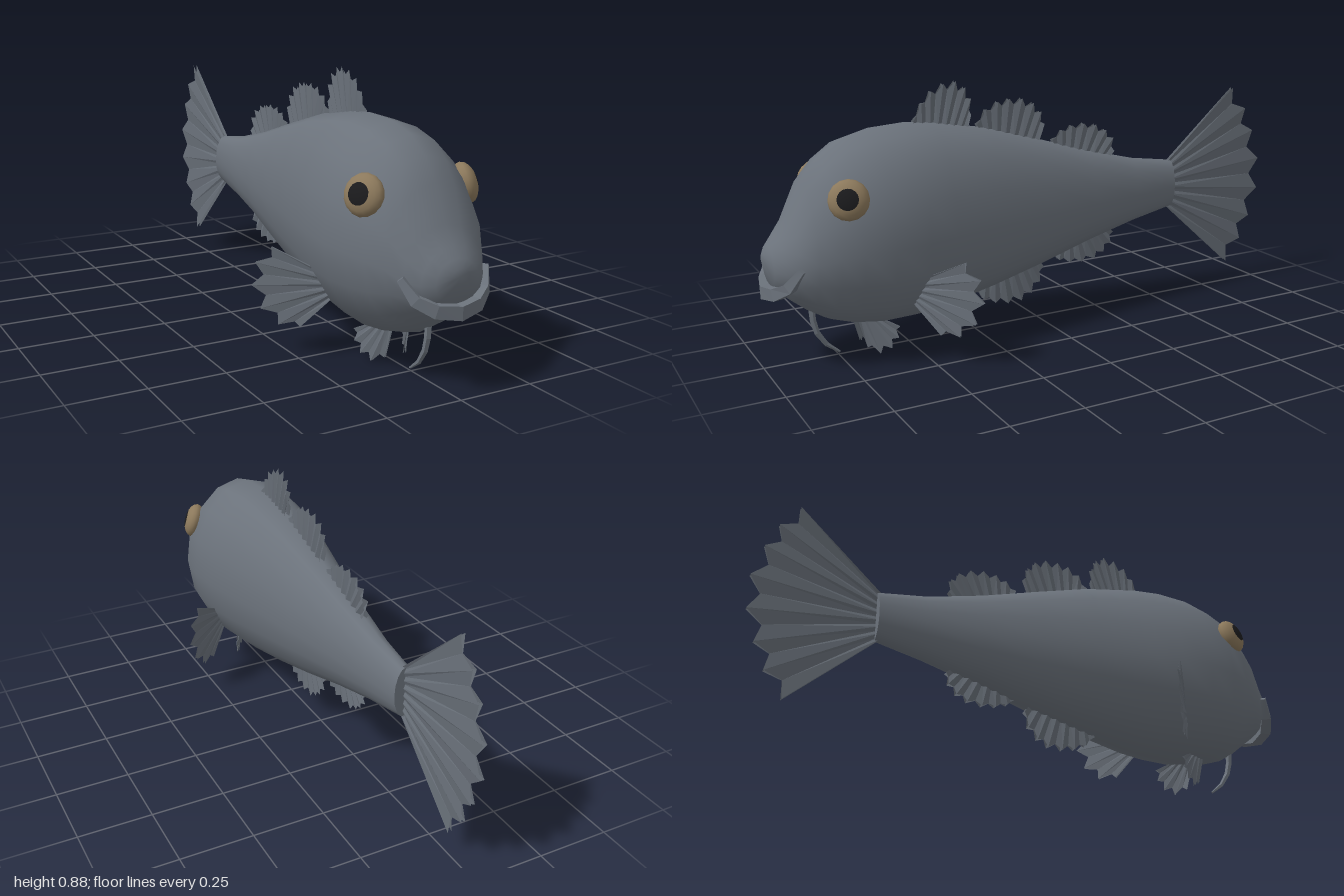
import * as THREE from 'three';
import { toCreasedNormals } from 'three/addons/utils/BufferGeometryUtils.js';

const V = (x, y, z) => new THREE.Vector3(x, y, z);

// Closed skin through a list of equal-sided rings, with both ends capped
function loft(rings, crease) {
  const n = rings[0].length, pos = [], idx = [];
  rings.forEach(r => r.forEach(p => pos.push(p.x, p.y, p.z)));
  for (const r of [rings[0], rings[rings.length - 1]]) {
    const c = r.reduce((s, p) => s.add(p), V(0, 0, 0)).divideScalar(n);
    pos.push(c.x, c.y, c.z);
  }
  const last = (rings.length - 1) * n, c0 = rings.length * n;
  for (let j = 0; j < n; j++) {
    const k = (j + 1) % n;
    for (let i = 0; i < last; i += n) {
      idx.push(i + j, i + n + j, i + k, i + k, i + n + j, i + n + k);
    }
    idx.push(c0, j, k, c0 + 1, last + k, last + j);
  }
  const g = new THREE.BufferGeometry();
  g.setAttribute('position', new THREE.Float32BufferAttribute(pos, 3));
  g.setIndex(idx);
  return toCreasedNormals(g, crease);
}

// Angular tube with its own radius at each point
function bar(points, radii, sides, ref) {
  const rings = points.map((p, i) => {
    const t = points[Math.min(i + 1, points.length - 1)].clone()
      .sub(points[Math.max(i - 1, 0)]).normalize();
    const v = ref.clone().addScaledVector(t, -ref.dot(t)).normalize();
    const u = t.clone().cross(v);
    return Array.from({ length: sides }, (_, j) => {
      const a = (j + 0.5) / sides * Math.PI * 2;
      return p.clone().addScaledVector(u, Math.cos(a) * radii[i])
        .addScaledVector(v, Math.sin(a) * radii[i]);
    });
  });
  return loft(rings, 0.15);
}

// Pleated fan from root a-b out to pointed tips, thicker along each ray
function fin(a, b, tips, notch, thick) {
  const edge = [];
  tips.forEach((p, i) => {
    edge.push(p);
    if (i < tips.length - 1) {
      const m = p.clone().add(tips[i + 1]).multiplyScalar(0.5);
      const root = a.clone().lerp(b, (i + 0.5) / (tips.length - 1));
      edge.push(m.lerp(root, notch));
    }
  });
  const normal = b.clone().sub(a)
    .cross(tips[tips.length >> 1].clone().sub(a)).normalize();
  const pos = [];
  const add = (...ps) => ps.forEach(p => pos.push(p.x, p.y, p.z));
  for (const s of [1, -1]) {
    const at = (p, i) => p.clone().addScaledVector(normal, s * thick * (i % 2 ? 0.25 : 1));
    for (let i = 0; i < edge.length - 1; i++) {
      const r0 = at(a.clone().lerp(b, i / (edge.length - 1)), i);
      const r1 = at(a.clone().lerp(b, (i + 1) / (edge.length - 1)), i + 1);
      const e0 = at(edge[i], i), e1 = at(edge[i + 1], i + 1);
      if (s > 0) add(r0, r1, e0, r1, e1, e0);
      else add(r0, e0, r1, r1, e0, e1);
    }
  }
  const g = new THREE.BufferGeometry();
  g.setAttribute('position', new THREE.Float32BufferAttribute(pos, 3));
  g.computeVertexNormals();
  return g;
}

export function createModel() {
  const group = new THREE.Group();
  const skin = new THREE.MeshStandardMaterial({ color: 0x6b727b });
  skin.name = 'slateSkin';
  const finMat = new THREE.MeshStandardMaterial({ color: 0x676e77, side: THREE.DoubleSide });
  finMat.name = 'slateFin';
  const tan = new THREE.MeshStandardMaterial({ color: 0x8c795c });
  tan.name = 'tanIris';
  const black = new THREE.MeshStandardMaterial({ color: 0x1b1b1d });
  black.name = 'blackPupil';

  const add = (name, geo, mat, parent = group) => {
    const m = new THREE.Mesh(geo, mat);
    m.name = name;
    parent.add(m);
    return m;
  };

  // Body: z, top, bottom, half width
  const sections = [
    [0.98, 0.39, 0.345, 0.03], [0.965, 0.415, 0.285, 0.075], [0.94, 0.445, 0.255, 0.108],
    [0.9, 0.5, 0.22, 0.14], [0.85, 0.61, 0.18, 0.175], [0.79, 0.68, 0.143, 0.202],
    [0.72, 0.73, 0.12, 0.223], [0.62, 0.757, 0.106, 0.234], [0.5, 0.765, 0.108, 0.226],
    [0.4, 0.758, 0.118, 0.208], [0.2, 0.722, 0.158, 0.168], [0, 0.665, 0.208, 0.128],
    [-0.2, 0.605, 0.265, 0.09], [-0.4, 0.555, 0.315, 0.06], [-0.575, 0.53, 0.35, 0.04],
  ];
  const rings = sections.map(([z, top, bottom, w]) => {
    const c = bottom + (top - bottom) * 0.46;
    return Array.from({ length: 16 }, (_, j) => {
      const a = j / 16 * Math.PI * 2, s = Math.sin(a);
      return V(w * Math.cos(a), c + s * (s > 0 ? top - c : c - bottom), z);
    });
  });
  add('body', loft(rings, 1.1), skin);

  // Fins on the centre line: root start, root end, tips, all as z, y
  const flat = ([z, y]) => V(0, y, z);
  const midFins = {
    firstDorsalFin: [[0.46, 0.74], [0.27, 0.72], [[0.465, 0.765], [0.435, 0.82], [0.4, 0.86],
      [0.355, 0.882], [0.31, 0.888], [0.275, 0.865], [0.255, 0.825], [0.255, 0.77]]],
    secondDorsalFin: [[0.22, 0.71], [0, 0.64], [[0.235, 0.735], [0.2, 0.782], [0.155, 0.807],
      [0.11, 0.814], [0.06, 0.812], [0.015, 0.793], [-0.015, 0.76], [-0.028, 0.715]]],
    thirdDorsalFin: [[-0.07, 0.63], [-0.29, 0.56], [[-0.06, 0.655], [-0.1, 0.685], [-0.14, 0.7],
      [-0.19, 0.704], [-0.24, 0.695], [-0.285, 0.672], [-0.315, 0.64], [-0.32, 0.59]]],
    firstAnalFin: [[0.24, 0.17], [0, 0.23], [[0.25, 0.145], [0.215, 0.108], [0.17, 0.088],
      [0.12, 0.078], [0.065, 0.08], [0.025, 0.102], [-0.01, 0.14], [-0.025, 0.195]]],
    secondAnalFin: [[-0.07, 0.25], [-0.29, 0.31], [[-0.06, 0.23], [-0.09, 0.208], [-0.135, 0.193],
      [-0.185, 0.188], [-0.24, 0.193], [-0.28, 0.212], [-0.31, 0.245], [-0.32, 0.285]]],
  };
  for (const [name, [a, b, tips]] of Object.entries(midFins)) {
    add(name, fin(flat(a), flat(b), tips.map(flat), 0.16, 0.01), finMat);
  }
  const tailTips = [[-0.86, 0.785], [-0.925, 0.7], [-0.965, 0.61], [-1, 0.495],
    [-1, 0.375], [-0.965, 0.265], [-0.925, 0.175], [-0.86, 0.09]];
  add('tailFin', fin(flat([-0.56, 0.525]), flat([-0.56, 0.355]), tailTips.map(flat), 0.09, 0.007), finMat);

  // Paired fins and eyes, mirrored
  const pectoralTips = [[0.305, 0.357], [0.345, 0.305], [0.355, 0.23], [0.333, 0.155],
    [0.288, 0.106], [0.234, 0.102]];
  const pelvicTips = [[0.035, 0.025, 0.66], [0.063, 0.007, 0.625], [0.08, 0.025, 0.59],
    [0.09, 0.062, 0.57], [0.09, 0.1, 0.565]];
  for (const [side, s] of [['left', 1], ['right', -1]]) {
    const pec = ([x, y]) => V(s * x, y, 0.53 - 0.8 * (x - 0.17));
    add(side + 'PectoralFin',
      fin(pec([0.175, 0.28]), pec([0.16, 0.195]), pectoralTips.map(pec), 0.14, 0.005), finMat);
    add(side + 'PelvicFin',
      fin(V(s * 0.03, 0.13, 0.69), V(s * 0.06, 0.13, 0.62),
        pelvicTips.map(([x, y, z]) => V(s * x, y, z)), 0.16, 0.004), finMat);

    const eye = new THREE.Group();
    eye.name = side + 'Eye';
    const split = 0.55;
    add('iris', new THREE.SphereGeometry(1, 16, 8, 0, Math.PI * 2, split, Math.PI - split), tan, eye);
    add('pupil', new THREE.SphereGeometry(1, 16, 3, 0, Math.PI * 2, 0, split), black, eye);
    eye.scale.set(0.065, 0.037, 0.065);
    eye.position.set(s * 0.178, 0.573, 0.752);
    eye.quaternion.setFromUnitVectors(V(0, 1, 0), V(s * 0.87, 0.27, 0.4).normalize());
    group.add(eye);
  }

  // Curved lip around the snout
  const half = [[0.148, 0.36, 0.9], [0.118, 0.302, 0.932], [0.07, 0.273, 0.96]];
  const lip = [...half.map(([x, y, z]) => V(-x, y, z)), V(0, 0.262, 0.974),
    ...half.slice().reverse().map(([x, y, z]) => V(x, y, z))];
  add('lip', bar(lip, [0.014, 0.024, 0.028, 0.03, 0.028, 0.024, 0.014], 4, V(0, 1, 0)), skin);

  // Chin barbel
  add('chinBarbel', bar([V(0, 0.19, 0.835), V(0, 0.14, 0.832), V(0, 0.095, 0.82), V(0, 0.05, 0.79),
    V(0, 0.015, 0.745)], [0.012, 0.011, 0.01, 0.008, 0.004], 5, V(0, 0, 1)), skin);

  return group;
}
